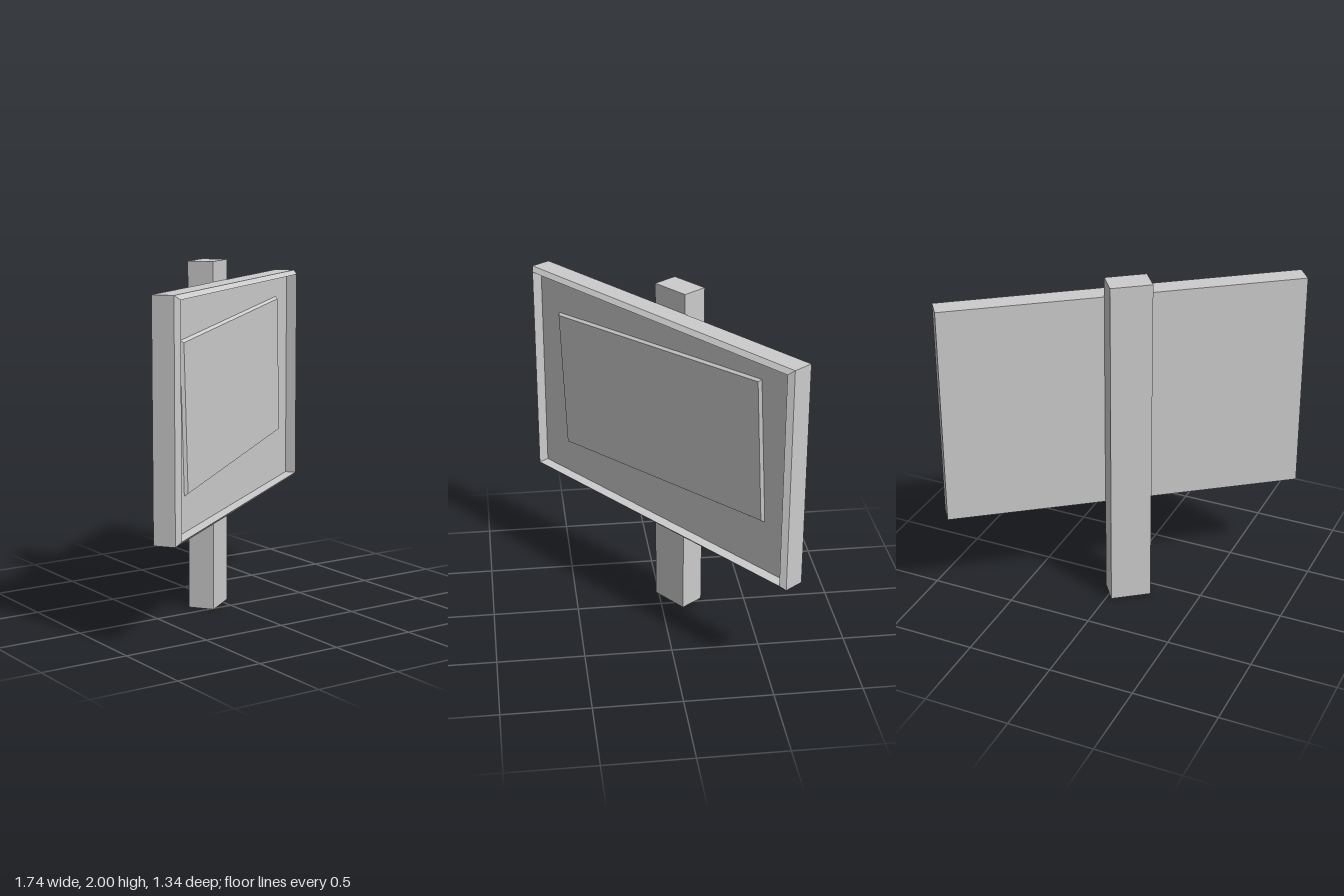
import * as THREE from 'three';

const material = new THREE.MeshStandardMaterial({ color: 0xcccccc, flatShading: true });

// Joins rectangular rings [width, height, z] in order and caps both ends
function rectLoft(rings) {
  const pos = [];
  const corners = ([w, h, z]) =>
    [[-1, -1], [1, -1], [1, 1], [-1, 1]].map(([sx, sy]) => [sx * w / 2, sy * h / 2, z]);
  const quad = (a, b, c, d) => pos.push(...a, ...b, ...c, ...a, ...c, ...d);
  const loops = rings.map(corners);
  for (let i = 0; i < loops.length - 1; i++) {
    for (let k = 0; k < 4; k++) {
      const n = (k + 1) % 4;
      quad(loops[i][k], loops[i][n], loops[i + 1][n], loops[i + 1][k]);
    }
  }
  const [a, b, c, d] = loops[0];
  quad(d, c, b, a);
  quad(...loops[loops.length - 1]);
  const geometry = new THREE.BufferGeometry();
  geometry.setAttribute('position', new THREE.Float32BufferAttribute(pos, 3));
  geometry.computeVertexNormals();
  return geometry;
}

function addPart(parent, name, geometry, x, y, z) {
  const mesh = new THREE.Mesh(geometry, material);
  mesh.name = name;
  mesh.position.set(x, y, z);
  parent.add(mesh);
  return mesh;
}

export function createModel() {
  const model = new THREE.Group();
  model.name = 'signpost';

  // The whole sign is turned about the vertical; z = 0 is the back of the board
  const sign = new THREE.Group();
  sign.name = 'sign';
  sign.position.set(-0.037, 0, -0.053);
  sign.rotation.y = 0.639;
  model.add(sign);

  // Square post behind the board
  addPart(sign, 'post', new THREE.BoxGeometry(0.236, 2, 0.15), 0, 1, -0.075);

  // Board with bevelled front edge and sunken face
  addPart(sign, 'board', rectLoft([
    [2.074, 1.3, 0],
    [2.074, 1.3, 0.122],
    [2.016, 1.25, 0.147],
    [2.016, 1.25, 0.082],
  ]), 0, 1.235, 0);

  // Thin bevelled notice, hung slightly crooked on the sunken face
  const notice = addPart(sign, 'notice', rectLoft([
    [1.63, 0.832, 0],
    [1.606, 0.808, 0.017],
  ]), -0.012, 1.272, 0.082);
  notice.rotation.z = 0.063;

  return model;
}
